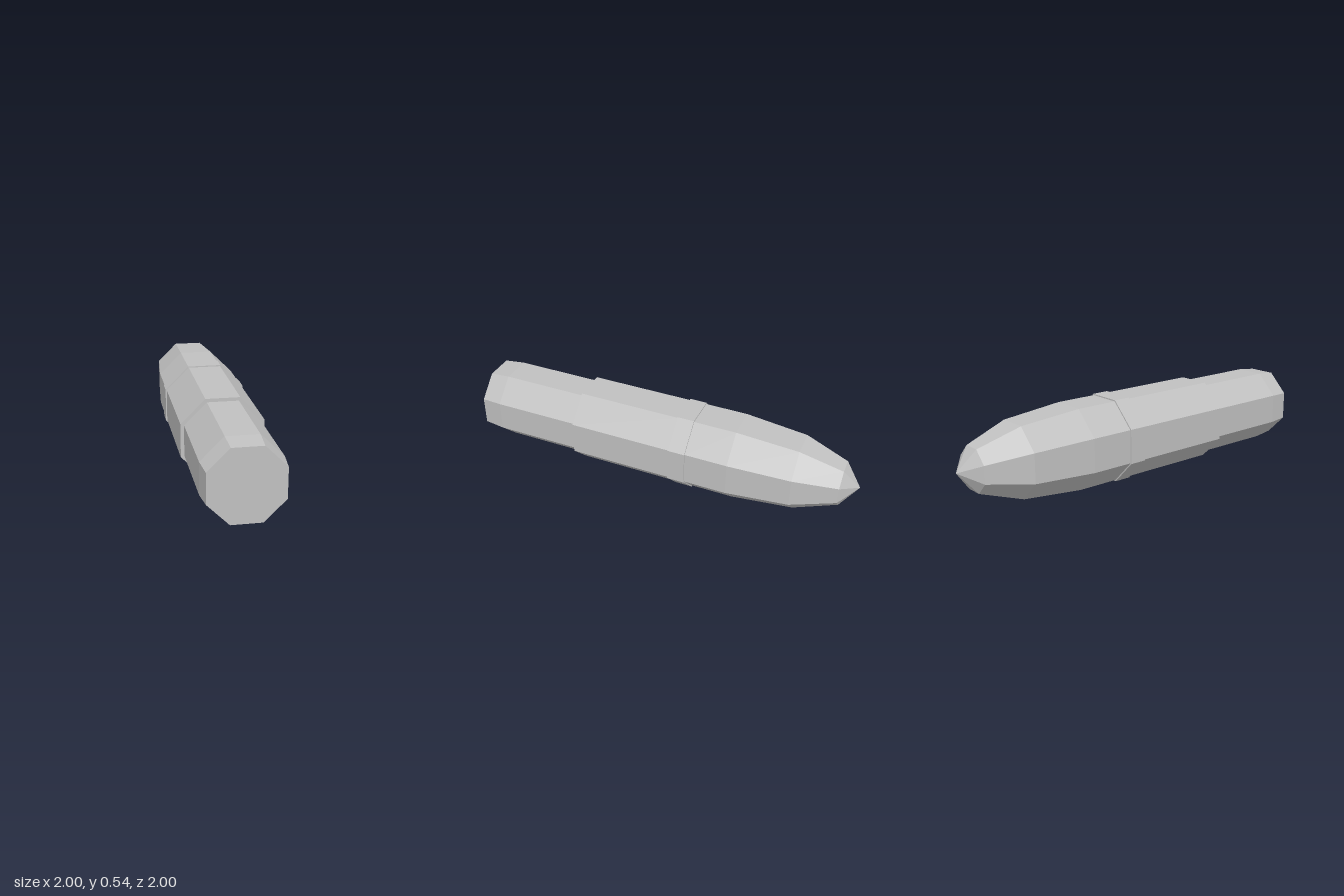
import * as THREE from 'three';

const SIDES = 8;
const CENTRE_Y = 0.27;

// Faceted octagonal part; profile is [half width across flats, distance along axis], tail to tip
function octagonalPart(name, profile, material) {
  const points = profile.map(([w, s]) => new THREE.Vector2(w / Math.cos(Math.PI / SIDES), s));
  const geometry = new THREE.LatheGeometry(points, SIDES, Math.PI / SIDES).toNonIndexed();
  geometry.computeVertexNormals();
  geometry.rotateX(-Math.PI / 2);
  const mesh = new THREE.Mesh(geometry, material);
  mesh.name = name;
  return mesh;
}

export function createModel() {
  const grey = new THREE.MeshStandardMaterial({ color: 0xc0c0c0 });
  grey.name = 'light grey';

  const model = new THREE.Group();
  model.name = 'shell';
  model.add(
    // Narrow tail with a slightly tapered, closed end
    octagonalPart('tail', [[0, -1.188], [0.226, -1.188], [0.24, -1.05], [0.24, -0.474]], grey),
    // Wider body with a step where it meets the tail
    octagonalPart('body', [[0.24, -0.474], [0.262, -0.474], [0.262, 0.21]], grey),
    // Slightly raised band around the body
    octagonalPart('band', [[0.262, 0.21], [0.27, 0.21], [0.27, 0.322], [0.262, 0.322]], grey),
    // Curved nose closing to a point
    octagonalPart('nose', [[0.262, 0.322], [0.262, 0.601], [0.226, 1.004], [0.134, 1.28], [0, 1.387]], grey),
  );

  // Lies flat, pointing diagonally to the back left
  model.rotation.y = -Math.PI / 4;
  model.position.y = CENTRE_Y;
  const root = new THREE.Group();
  root.add(model);
  return root;
}
